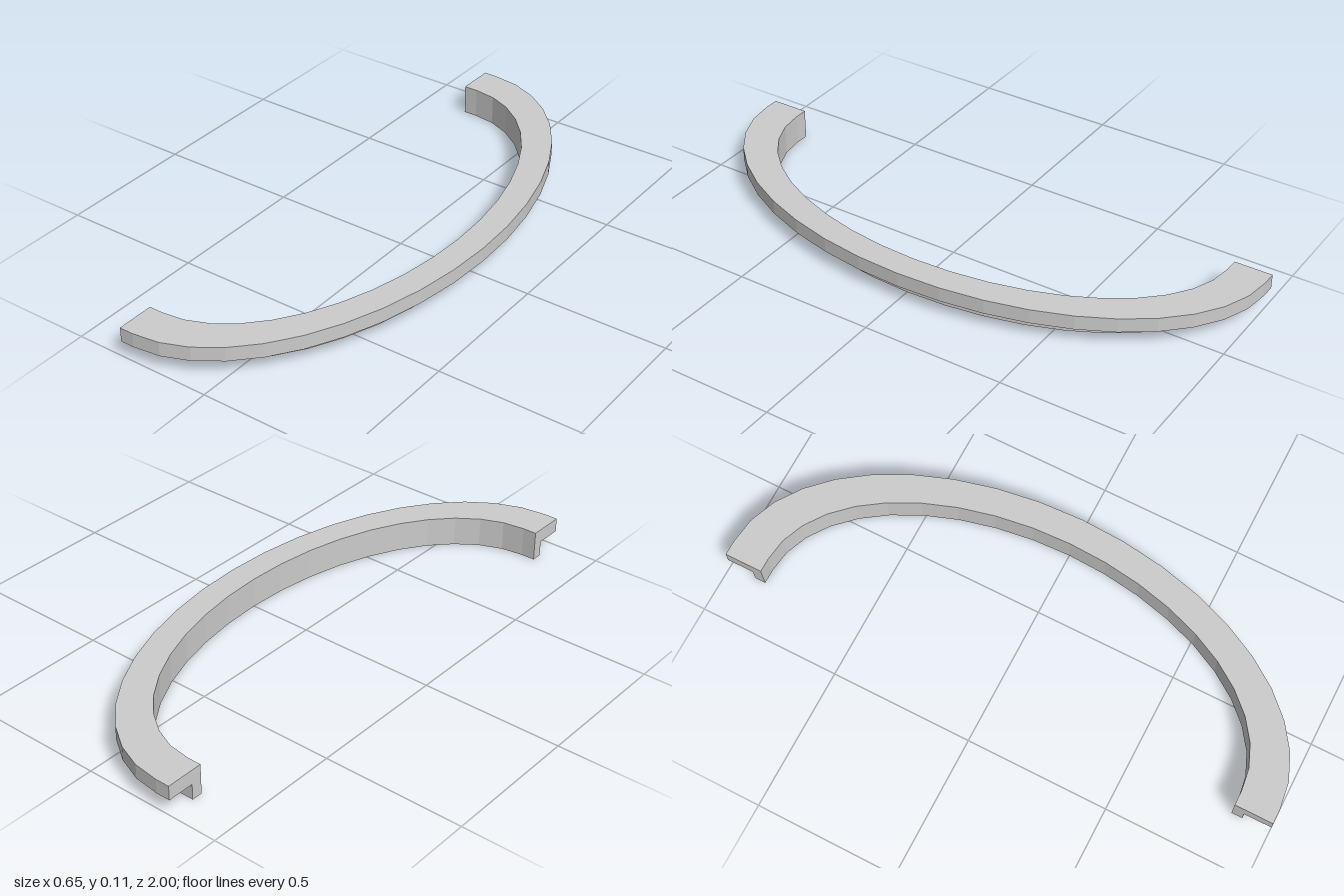
import * as THREE from 'three';

// Half-ellipse rail with an L-shaped section, swept in facets
const CENTRE_X = -0.276, END_X = -0.326, SEGMENTS = 20;
const inner = { rx: 0.506, rz: 0.866 };
const lip = { rx: 0.547, rz: 0.904 };
const outer = { rx: 0.602, rz: 1.0 };

// Section corners, counter-clockwise: radius and height
const profile = [
  [inner, 0], [lip, 0], [lip, 0.056],
  [outer, 0.056], [outer, 0.107], [inner, 0.107],
];

function section(angle) {
  return profile.map(([e, y]) => [CENTRE_X + e.rx * Math.cos(angle), y, e.rz * Math.sin(angle)]);
}

// Short straight run-out past the half turn, cut square
function endSection(side) {
  return profile.map(([e, y]) => [END_X, y, side * e.rz]);
}

function railGeometry() {
  const sections = [endSection(-1)];
  for (let i = 0; i <= SEGMENTS; i++) sections.push(section(Math.PI * (i / SEGMENTS - 0.5)));
  sections.push(endSection(1));

  const n = profile.length;
  const indices = [];
  for (let s = 0; s < sections.length - 1; s++) {
    for (let i = 0; i < n; i++) {
      const j = (i + 1) % n;
      const a = s * n + i, b = s * n + j, c = b + n, d = a + n;
      indices.push(a, b, c, a, c, d);
    }
  }
  // L-shaped end caps
  const last = (sections.length - 1) * n;
  for (const [a, b, c] of [[0, 1, 2], [0, 2, 5], [2, 3, 4], [2, 4, 5]]) {
    indices.push(c, b, a, last + a, last + b, last + c);
  }

  const indexed = new THREE.BufferGeometry();
  indexed.setAttribute('position', new THREE.Float32BufferAttribute(sections.flat(2), 3));
  indexed.setIndex(indices);
  const geometry = indexed.toNonIndexed();
  geometry.computeVertexNormals();
  return geometry;
}

export function createModel() {
  const group = new THREE.Group();
  group.name = 'halfRing';
  const material = new THREE.MeshStandardMaterial({ color: 0xcccccc, flatShading: true });
  const rail = new THREE.Mesh(railGeometry(), material);
  rail.name = 'flangedRail';
  group.add(rail);
  return group;
}
